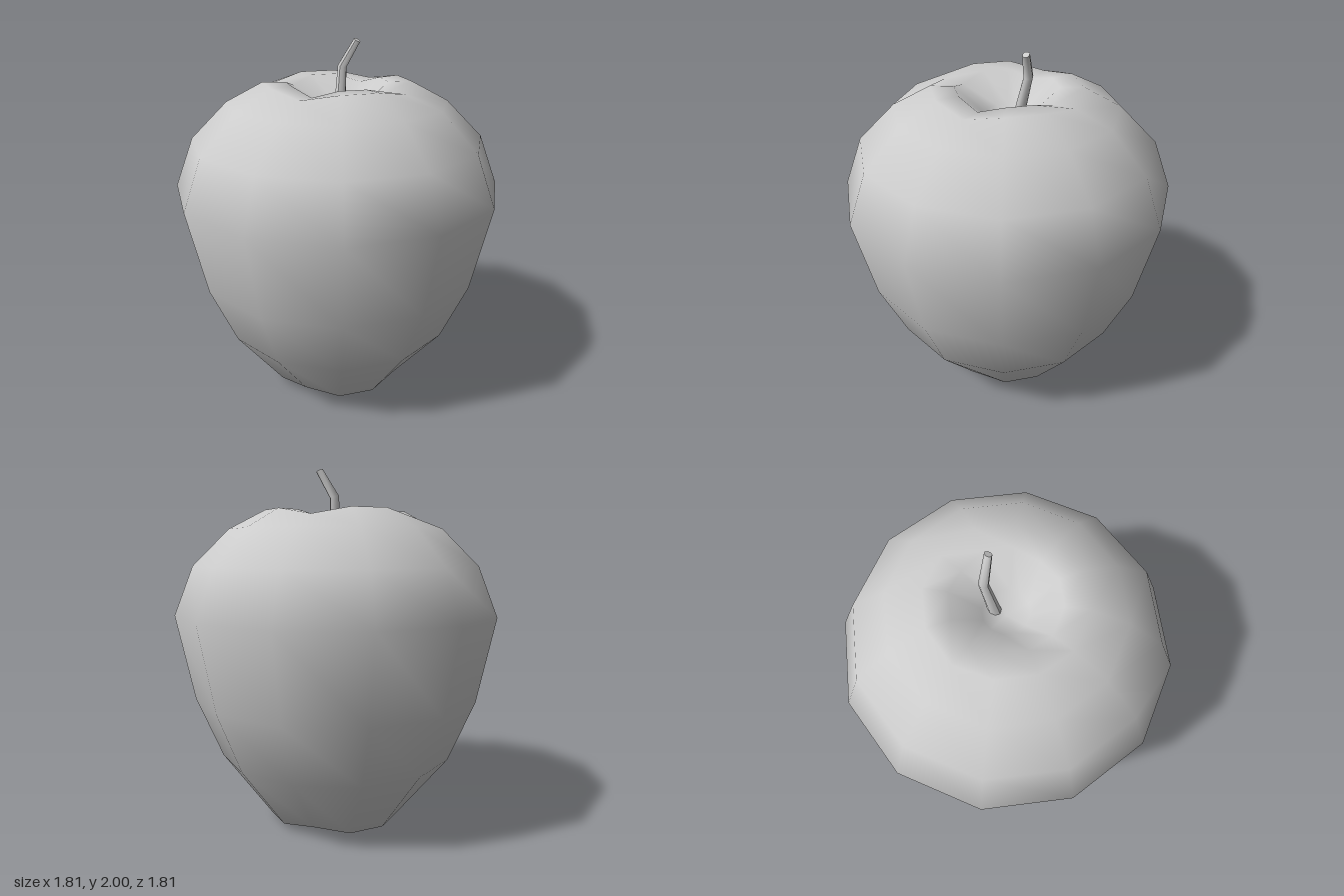
import * as THREE from 'three';
import { mergeVertices } from 'three/addons/utils/BufferGeometryUtils.js';

// Drops position-splitting attributes, welds the seam and smooths the normals.
function smooth(geometry) {
  geometry.deleteAttribute('uv');
  geometry.deleteAttribute('normal');
  const welded = mergeVertices(geometry, 1e-4);
  welded.computeVertexNormals();
  return welded;
}

// Twelve-sided fruit: [radius, height, lift of the four axis columns]
function createBody() {
  const rings = [
    [0, 0.18, 0], [0.12, 0.14, 0],
    [0.275, 0.003, 0.04], [0.39, 0.04, 0.03],
    [0.66, 0.4, 0], [0.805, 0.74, 0], [0.905, 1.21, 0],
    [0.8, 1.48, 0], [0.6, 1.68, 0],
    [0.4, 1.785, -0.035], [0.275, 1.783, -0.04],
    [0.12, 1.64, 0], [0, 1.6, 0],
  ];
  const geometry = new THREE.LatheGeometry(rings.map(([r, y]) => new THREE.Vector2(r, y)), 12);
  const pos = geometry.attributes.position;
  // Dent both rims on the x and z axes, leaving four soft lobes
  for (let i = 0; i < pos.count; i++) {
    const column = Math.floor(i / rings.length);
    if (column % 3 === 0) pos.setY(i, pos.getY(i) + rings[i % rings.length][2]);
  }
  return smooth(geometry);
}

// Tapered stalk with one kink, bent from a straight cylinder
function createStem() {
  const sections = [
    { at: new THREE.Vector3(-0.015, 1.58, -0.05), r: 0.034, tilt: 0 },
    { at: new THREE.Vector3(-0.028, 1.85, -0.11), r: 0.026, tilt: -0.25 },
    { at: new THREE.Vector3(0.048, 1.99, -0.138), r: 0.02, tilt: -0.5 },
  ];
  const geometry = new THREE.CylinderGeometry(1, 1, 1, 8, 2);
  const pos = geometry.attributes.position;
  const v = new THREE.Vector3();
  const zAxis = new THREE.Vector3(0, 0, 1);
  for (let i = 0; i < pos.count; i++) {
    v.fromBufferAttribute(pos, i);
    const { at, r, tilt } = sections[Math.round((v.y + 0.5) * 2)];
    v.setY(0).multiplyScalar(r).applyAxisAngle(zAxis, tilt).add(at);
    pos.setXYZ(i, v.x, v.y, v.z);
  }
  geometry.computeVertexNormals();
  return geometry;
}

export function createModel() {
  const group = new THREE.Group();
  group.name = 'apple';
  const material = new THREE.MeshStandardMaterial({ color: 0xcccccc });

  const body = new THREE.Mesh(createBody(), material);
  body.name = 'fruitBody';
  const stem = new THREE.Mesh(createStem(), material);
  stem.name = 'stem';

  group.add(body, stem);
  return group;
}
